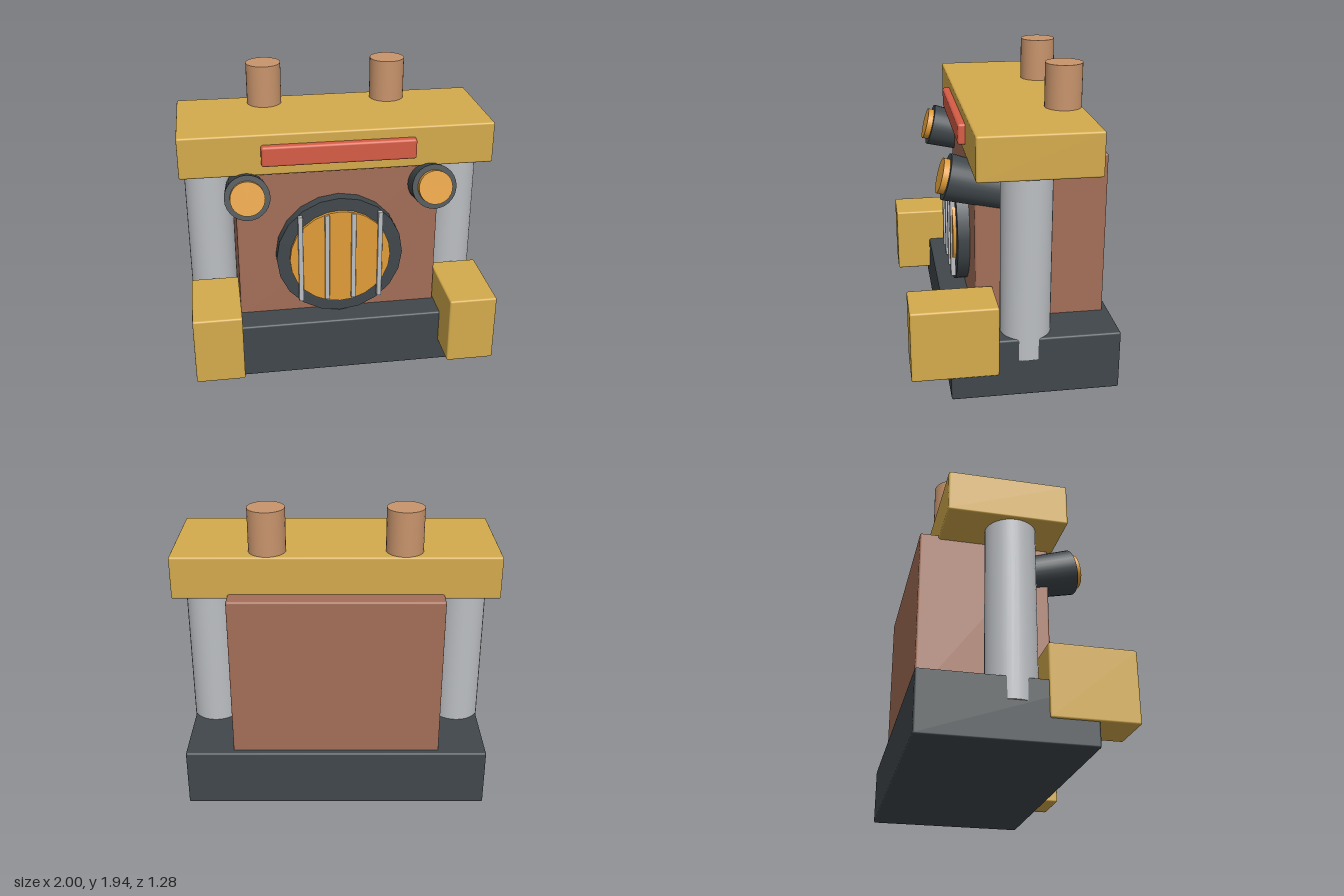
import * as THREE from 'three';
import { RoundedBoxGeometry } from 'three/addons/geometries/RoundedBoxGeometry.js';

export function createModel() {
  const model = new THREE.Group();
  model.name = 'model';
  const mat = (name, color) => {
    const m = new THREE.MeshStandardMaterial({ color });
    m.name = name;
    return m;
  };
  const gold = mat('gold', 0xd4ab4c);
  const amber = mat('amber', 0xe09c38);
  const brown = mat('brown', 0xa36e58);
  const copper = mat('copper', 0xc8946c);
  const dark = mat('dark grey', 0x40474b);
  const silver = mat('silver', 0xbcbfc3);
  const red = mat('red', 0xd55c45);

  const add = (name, geometry, material, x, y, z, parent = model) => {
    const mesh = new THREE.Mesh(geometry, material);
    mesh.name = name;
    mesh.position.set(x, y, z);
    parent.add(mesh);
    return mesh;
  };
  // Softened box given by its limits on each axis
  const box = (name, material, [x0, x1], [y0, y1], [z0, z1], r = 0.012) =>
    add(name, new RoundedBoxGeometry(x1 - x0, y1 - y0, z1 - z0, 2, r), material,
      (x0 + x1) / 2, (y0 + y1) / 2, (z0 + z1) / 2);
  // Cylinder lying along z, from z0 to z1
  const drum = (name, material, rBack, rFront, z0, z1, sides, x, y, parent) =>
    add(name, new THREE.CylinderGeometry(rFront, rBack, z1 - z0, sides).rotateX(Math.PI / 2),
      material, x, y, (z0 + z1) / 2, parent);

  // Main blocks
  box('base', dark, [-0.965, 0.965], [0, 0.38], [-0.64, 0.4]);
  box('body', brown, [-0.66, 0.66], [0.34, 1.425], [-0.6, 0.215]);
  box('roof', gold, [-1, 1], [1.395, 1.665], [-0.485, 0.248]);
  box('browBar', red, [-0.49, 0.49], [1.465, 1.597], [0.2, 0.293], 0.015);

  // Round grille with vertical bars
  drum('grilleRing', dark, 0.415, 0.415, 0.18, 0.293, 20, 0, 0.81);
  drum('grilleDisc', amber, 0.33, 0.33, 0.25, 0.315, 24, 0, 0.81);
  for (let i = 0; i < 4; i++) {
    const x = -0.26 + i * 0.1733;
    box('grilleBar', silver, [x - 0.016, x + 0.016], [0.503, 1.123], [0.295, 0.328], 0.005);
  }

  for (const s of [-1, 1]) {
    const side = s > 0 ? 'left' : 'right';
    // Side pillar, chimney and foot block
    add(side + 'Pillar', new THREE.CylinderGeometry(0.155, 0.155, 1.2, 32), silver, s * 0.822, 0.84, -0.07);
    add(side + 'Chimney', new THREE.CylinderGeometry(0.115, 0.115, 0.3, 32), copper, s * 0.417, 1.79, -0.365);
    const block = [0.665, 0.975].map((x) => s * x).sort((a, b) => a - b);
    box(side + 'FootBlock', gold, block, [0.15, 0.605], [0.11, 0.64]);

    // Lamp tilted upward, with its origin at the front of the housing
    const lamp = new THREE.Group();
    lamp.name = side + 'Lamp';
    lamp.position.set(s * 0.59, 1.305, 0.377);
    lamp.rotation.x = -0.26;
    drum('lampHousing', dark, 0.118, 0.143, -0.565, 0, 28, 0, 0, lamp);
    drum('lampLens', amber, 0.108, 0.108, -0.02, 0.038, 28, 0, 0, lamp);
    model.add(lamp);
  }
  return model;
}
